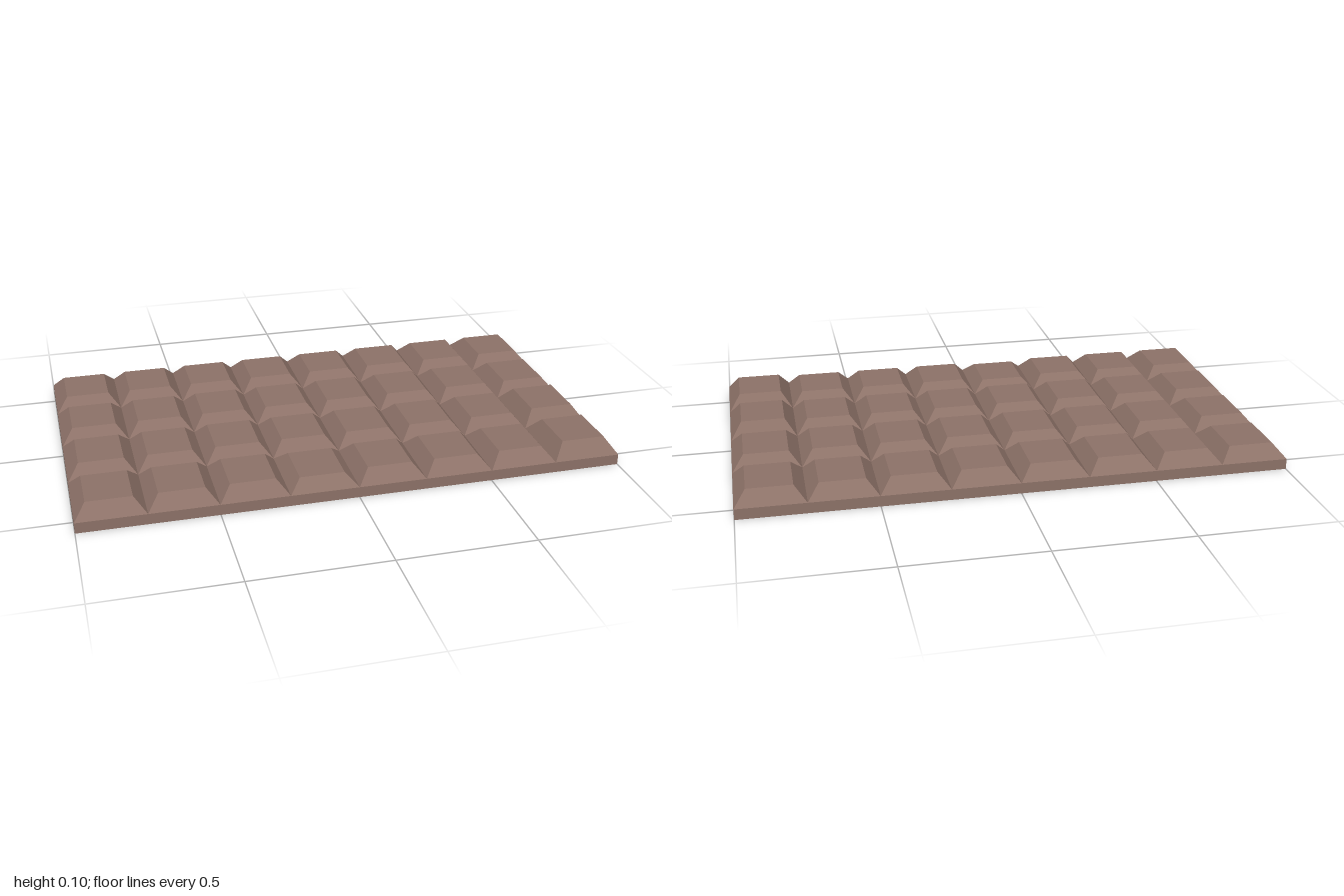
import * as THREE from 'three';

const COLS = 8, ROWS = 4;
const WIDTH = 2, DEPTH = 1.15, BASE = 0.04;

// Block with four sloping sides, standing on y = 0
function blockGeometry(w, d, h, insetX, insetZ) {
  const geo = new THREE.BoxGeometry(w, h, d).translate(0, h / 2, 0).toNonIndexed();
  const p = geo.attributes.position;
  for (let i = 0; i < p.count; i++) {
    if (p.getY(i) > h / 2) {
      p.setX(i, p.getX(i) - Math.sign(p.getX(i)) * insetX);
      p.setZ(i, p.getZ(i) - Math.sign(p.getZ(i)) * insetZ);
    }
  }
  geo.computeVertexNormals();
  return geo;
}

// Slightly uneven block heights above the base
function blockHeight(col, row) {
  if (col === COLS - 1) return row >= 2 ? 0.058 : 0.05;
  if (col === 3 && row === ROWS - 1) return 0.042;
  return 0.05;
}

export function createModel() {
  const model = new THREE.Group();
  model.name = 'chocolateBar';
  const chocolate = new THREE.MeshStandardMaterial({ color: 0x8d7268, flatShading: true });

  // Flat slab under the blocks
  const slab = new THREE.Mesh(new THREE.BoxGeometry(WIDTH, BASE, DEPTH), chocolate);
  slab.name = 'slab';
  slab.position.y = BASE / 2;
  model.add(slab);

  // Grid of bevelled blocks, row 0 at the back
  const w = WIDTH / COLS, d = DEPTH / ROWS;
  const blocks = new THREE.Group();
  blocks.name = 'blocks';
  for (let row = 0; row < ROWS; row++) {
    for (let col = 0; col < COLS; col++) {
      const geo = blockGeometry(w, d, blockHeight(col, row), 0.043, 0.049);
      const block = new THREE.Mesh(geo, chocolate);
      block.name = `block_${row + 1}_${col + 1}`;
      block.position.set((col + 0.5) * w - WIDTH / 2, BASE, (row + 0.5) * d - DEPTH / 2);
      blocks.add(block);
    }
  }
  model.add(blocks);
  return model;
}
